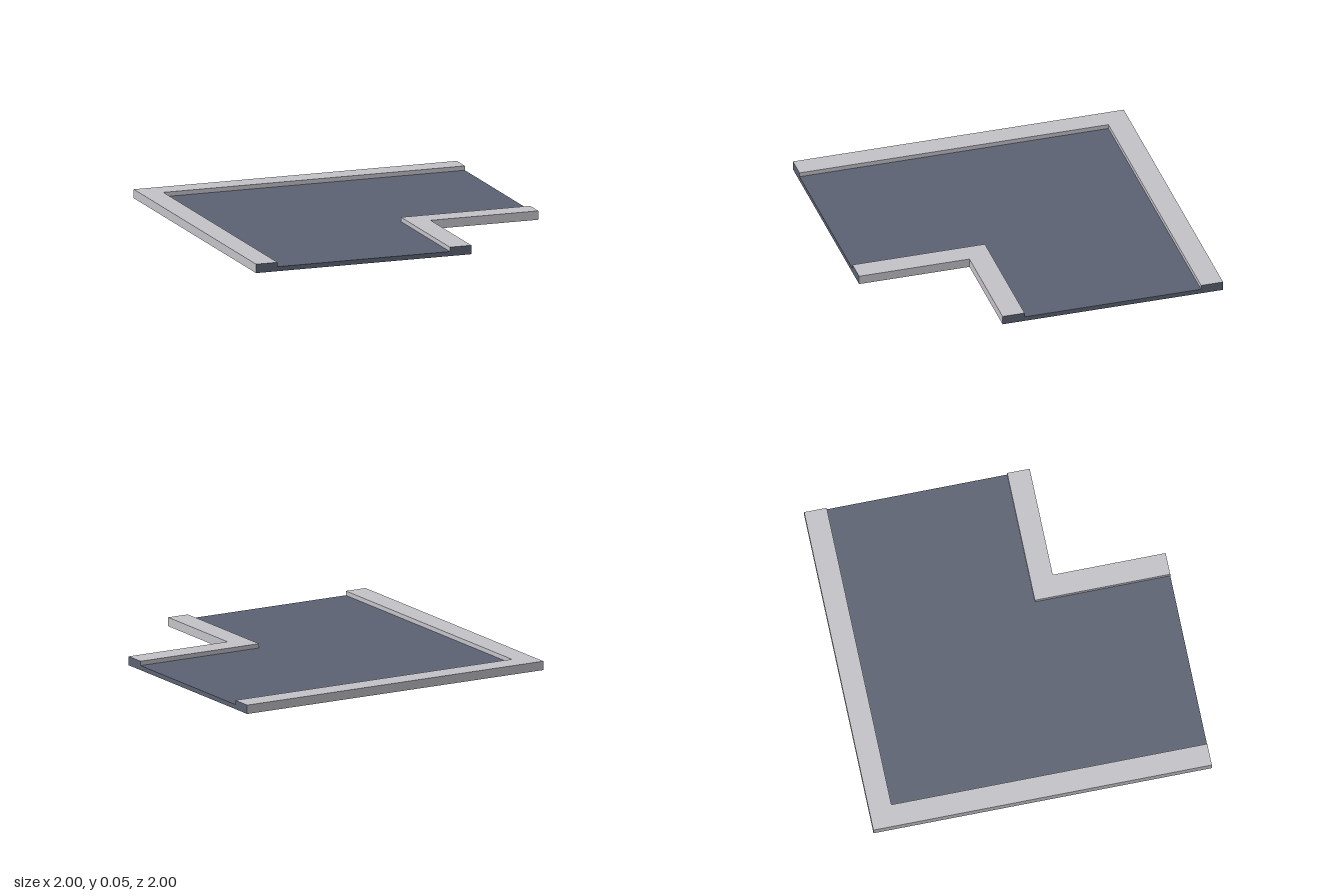
import * as THREE from 'three';

const TOP = 0.053, ROAD = 0.027;
// Cross-section, counter-clockwise: [distance across, height]
const PROFILE = [
  [-1, 0], [0.333, 0], [0.333, TOP], [0.2, TOP],
  [0.2, ROAD], [-0.867, ROAD], [-0.867, TOP], [-1, TOP],
];

// Sweep chosen profile edges from the front end, round the mitred corner, to the left end
function sweep(edges) {
  const pos = [];
  const rail = (d, y) => [[d, y, 1], [d, y, d], [1, y, d]];
  for (const e of edges) {
    const a = rail(...PROFILE[e]);
    const b = rail(...PROFILE[(e + 1) % PROFILE.length]);
    for (let i = 0; i < 2; i++) {
      pos.push(...a[i], ...a[i + 1], ...b[i + 1], ...a[i], ...b[i + 1], ...b[i]);
    }
  }
  const g = new THREE.BufferGeometry();
  g.setAttribute('position', new THREE.Float32BufferAttribute(pos, 3));
  g.computeVertexNormals();
  return g;
}

// Flat cap with the outline of the profile
function cap(sign) {
  const pts = PROFILE.map(([d, y]) => new THREE.Vector2(sign * d, y));
  return new THREE.ShapeGeometry(new THREE.Shape(pts));
}

export function createModel() {
  const asphalt = new THREE.MeshStandardMaterial({ color: 0x5c6273 });
  asphalt.name = 'asphalt';
  const concrete = new THREE.MeshStandardMaterial({ color: 0xc4c2c8 });
  concrete.name = 'concrete';

  const group = new THREE.Group();
  group.name = 'roadCorner';
  const add = (name, geometry, material) => {
    const mesh = new THREE.Mesh(geometry, material);
    mesh.name = name;
    group.add(mesh);
  };

  // Road surface, kerbs and underside
  add('roadSurface', sweep([4]), asphalt);
  add('innerKerb', sweep([1, 2, 3]), concrete);
  add('outerKerb', sweep([5, 6, 7]), concrete);
  add('underside', sweep([0]), concrete);

  // Cut ends of the road
  add('frontEnd', cap(1).translate(0, 0, 1), asphalt);
  add('leftEnd', cap(-1).rotateY(Math.PI / 2).translate(1, 0, 0), asphalt);
  return group;
}
